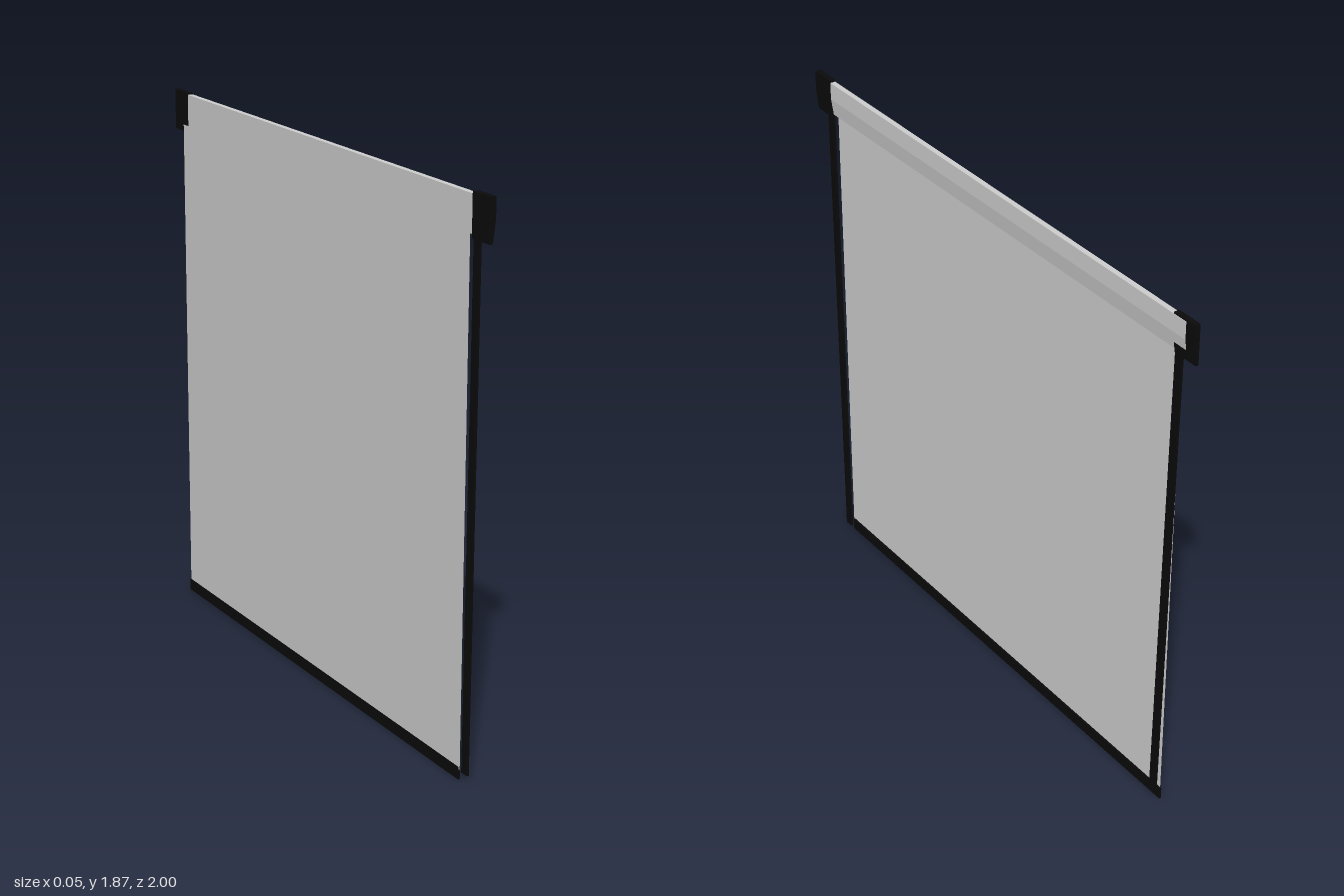
import * as THREE from 'three';

export function createModel() {
  const model = new THREE.Group();
  model.name = 'projectionScreen';
  // the whole screen hangs turned by a slight yaw
  model.rotation.y = -0.0116;

  const grey = new THREE.MeshStandardMaterial({ color: 0xcccccc, flatShading: true, side: THREE.DoubleSide });
  const black = new THREE.MeshStandardMaterial({ color: 0x0a0a0a, flatShading: true });

  function add(name, geometry, material, x, y, z) {
    const mesh = new THREE.Mesh(geometry, material);
    mesh.name = name;
    mesh.position.set(x, y, z);
    model.add(mesh);
    return mesh;
  }

  // thin upright sheet facing +x, given by its z and y limits
  function sheet(name, x, z0, z1, y0, y1) {
    const geometry = new THREE.PlaneGeometry(z1 - z0, y1 - y0).rotateY(Math.PI / 2);
    return add(name, geometry, grey, x, (y0 + y1) / 2, (z0 + z1) / 2);
  }

  // housing section: upright above, slanting inward below on the +x side
  function housing(name, material, x0, x1, y0, y1, z0, z1) {
    const section = new THREE.Shape([
      new THREE.Vector2(x0, y0),
      new THREE.Vector2(x1 - 0.009, y0),
      new THREE.Vector2(x1, 1.8),
      new THREE.Vector2(x1, y1),
      new THREE.Vector2(x0, y1),
    ]);
    const geometry = new THREE.ExtrudeGeometry(section, { depth: z1 - z0, bevelEnabled: false });
    return add(name, geometry, material, 0, 0, z0);
  }

  // fabric and the two panels floating in front of it
  sheet('screenFabric', -0.016, -0.915, 0.917, 0.035, 1.755);
  sheet('upperPanel', 0.006, -0.71, 0.455, 1.243, 1.473);
  sheet('lowerPanel', 0.006, -0.71, 0.455, 0.522, 0.752);

  // roller housing with its end caps
  housing('rollerHousing', grey, -0.003, 0.016, 1.74, 1.86, -0.96, 0.94);
  housing('leftEndCap', black, -0.004, 0.017, 1.727, 1.868, 0.908, 1.0);
  housing('rightEndCap', black, -0.004, 0.015, 1.727, 1.866, -1.0, -0.905);

  // side borders, each leaning a little
  for (const [name, zTop, zBottom, y0, y1] of [
    ['frontBorder', 0.933, 0.923, 0.02, 1.74],
    ['rearBorder', -0.92, -0.897, 0.055, 1.74],
  ]) {
    const border = add(name, new THREE.BoxGeometry(0.008, y1 - y0, 0.031), black,
      0, (y0 + y1) / 2, (zTop + zBottom) / 2);
    border.rotation.x = Math.atan2(zTop - zBottom, y1 - y0);
  }

  // weighted bar along the lower edge
  add('bottomBar', new THREE.BoxGeometry(0.007, 0.043, 1.83), black, -0.0135, 0.0215, -0.005);

  const root = new THREE.Group();
  root.name = 'screen';
  root.add(model);
  return root;
}
